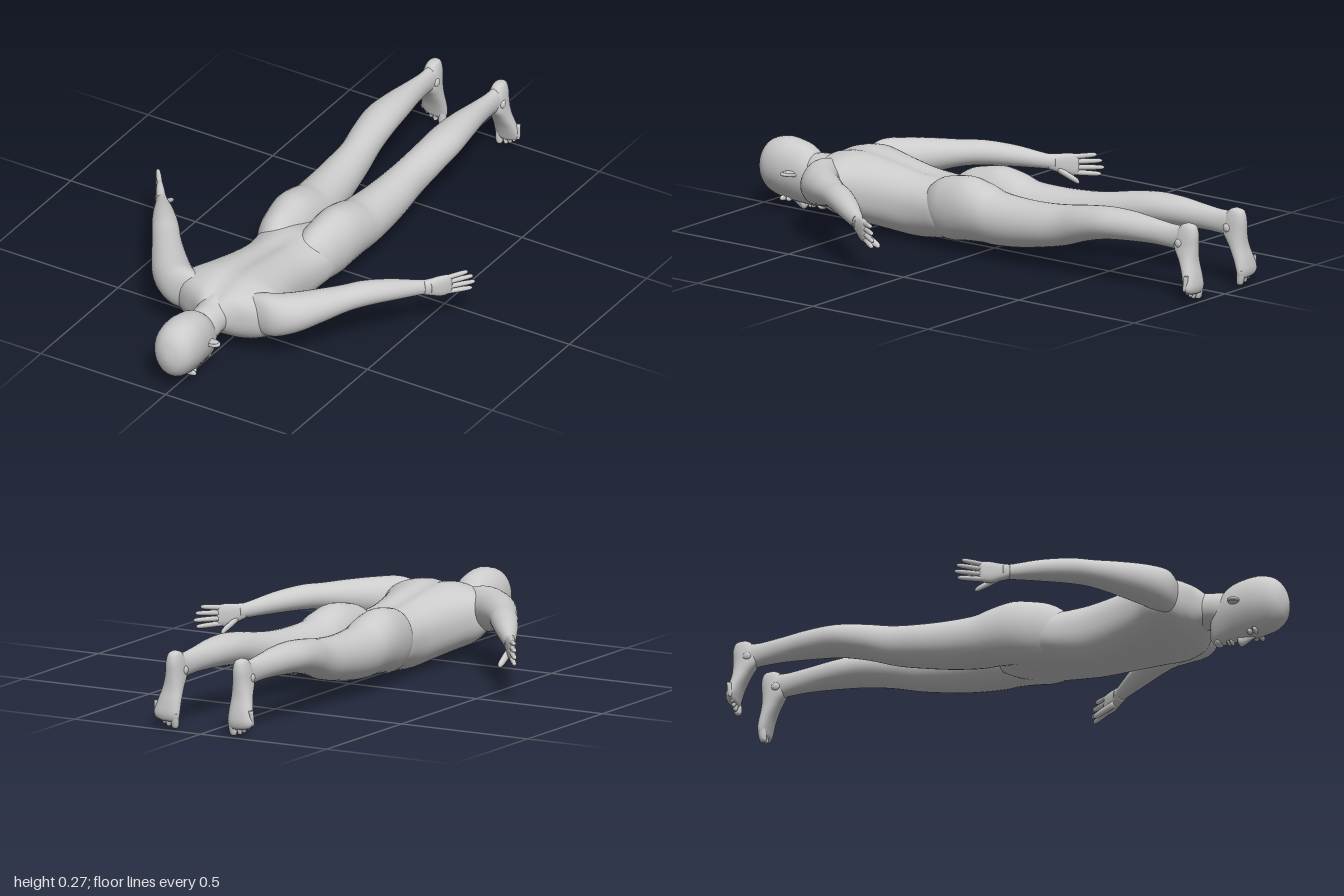
import * as THREE from 'three';

const material = new THREE.MeshStandardMaterial({ color: 0xcccccc, roughness: 0.8 });
const X = [1, 0, 0], Y = [0, 1, 0], Z = [0, 0, 1];

// Smooth skin through sections [x, y, z, halfU, halfV]; side = -1 mirrors it in x.
function loft(name, sections, { U = X, V = Y, side = 1, power = 2, around = 32, steps = 5, bend } = {}) {
  const centre = new THREE.CatmullRomCurve3(
    sections.map(s => new THREE.Vector3(s[0], s[1], s[2])), false, 'catmullrom', 0.5);
  const size = new THREE.CatmullRomCurve3(
    sections.map(s => new THREE.Vector3(s[3], s[4], 0)), false, 'catmullrom', 0.5);
  const u = new THREE.Vector3(...U), v = new THREE.Vector3(...V);
  const rows = (sections.length - 1) * steps, pos = [], index = [];
  const push = p => {
    if (bend) bend(p);
    pos.push(p.x * side, p.y, p.z);
  };
  const round = c => Math.sign(c) * Math.abs(c) ** (2 / power);
  for (let i = 0; i <= rows; i++) {
    const c = centre.getPoint(i / rows), r = size.getPoint(i / rows);
    for (let j = 0; j < around; j++) {
      const t = j / around * Math.PI * 2;
      push(c.clone().addScaledVector(u, r.x * round(Math.cos(t))).addScaledVector(v, r.y * round(Math.sin(t))));
    }
  }
  const first = (rows + 1) * around, last = first + 1;
  push(centre.getPoint(0));
  push(centre.getPoint(1));
  const along = centre.getPoint(1).sub(centre.getPoint(0));
  const flip = u.clone().cross(v).dot(along) * side < 0;
  const tri = (a, b, c) => (flip ? index.push(a, c, b) : index.push(a, b, c));
  for (let j = 0; j < around; j++) {
    const k = (j + 1) % around;
    for (let i = 0; i < rows; i++) {
      const a = i * around + j, b = i * around + k;
      tri(a, b, a + around);
      tri(b, b + around, a + around);
    }
    tri(first, k, j);
    tri(last, rows * around + j, rows * around + k);
  }
  const geo = new THREE.BufferGeometry();
  geo.setAttribute('position', new THREE.Float32BufferAttribute(pos, 3));
  geo.setIndex(index);
  geo.computeVertexNormals();
  const mesh = new THREE.Mesh(geo, material);
  mesh.name = name;
  return mesh;
}

// Section across z from its extents
const slice = ([z, x0, x1, y0, y1]) => [(x0 + x1) / 2, (y0 + y1) / 2, z, (x1 - x0) / 2, (y1 - y0) / 2];
// Symmetric section across z
const band = ([z, w, y0, y1]) => slice([z, -w, w, y0, y1]);

function ellipsoid(name, p, s, rotation = [0, 0, 0]) {
  const mesh = new THREE.Mesh(new THREE.SphereGeometry(1, 20, 14), material);
  mesh.name = name;
  mesh.position.set(...p);
  mesh.scale.set(...s);
  mesh.rotation.set(...rotation);
  return mesh;
}

// Rounded digit from a to b
function digit(name, a, b, r, side, U, V) {
  const at = (t, k) => [0, 1, 2].map(i => a[i] + (b[i] - a[i]) * t).concat(r * k, r * k);
  return loft(name, [at(0, 1), at(0.5, 1), at(0.85, 0.85), at(0.96, 0.55), at(1, 0.1)],
    { U, V, side, around: 10, steps: 3 });
}

function buildHead() {
  const head = new THREE.Group();
  head.name = 'head';
  head.add(loft('skull', [
    [0.715, 0.015, 0.05, 0.09], [0.73, 0.04, 0.03, 0.15], [0.76, 0.058, 0.028, 0.2],
    [0.8, 0.07, 0.032, 0.236], [0.85, 0.078, 0.035, 0.251], [0.9, 0.081, 0.04, 0.255],
    [0.95, 0.074, 0.055, 0.242], [0.98, 0.053, 0.08, 0.212], [0.994, 0.026, 0.112, 0.175],
    [0.999, 0.004, 0.138, 0.148],
  ].map(band), {
    power: 2.2,
    // narrow the face towards the front
    bend: p => { p.x *= 1 - 0.22 * THREE.MathUtils.smoothstep(0.15 - p.y, 0, 0.12); },
  }));
  head.add(loft('nose', [
    [0.89, 0.006, 0.04, 0.06], [0.865, 0.009, 0.029, 0.06], [0.835, 0.015, 0.012, 0.06],
    [0.822, 0.018, 0.011, 0.05], [0.814, 0.01, 0.022, 0.045],
  ].map(band), { around: 16 }));
  head.add(ellipsoid('upperLip', [0, 0.031, 0.791], [0.021, 0.009, 0.006]));
  head.add(ellipsoid('lowerLip', [0, 0.031, 0.78], [0.018, 0.009, 0.006]));
  head.add(ellipsoid('chin', [0, 0.036, 0.744], [0.024, 0.014, 0.016]));
  for (const s of [-1, 1]) {
    head.add(ellipsoid('eye', [s * 0.029, 0.046, 0.868], [0.014, 0.01, 0.009]));
    head.add(ellipsoid('brow', [s * 0.03, 0.047, 0.888], [0.025, 0.011, 0.008]));
    // ear: flattened rim around a shallow bowl
    const ear = new THREE.Group();
    ear.name = 'ear';
    const rim = new THREE.Mesh(new THREE.TorusGeometry(0.022, 0.006, 8, 24), material);
    rim.name = 'earRim';
    rim.scale.set(0.75, 1.25, 1);
    ear.add(rim, ellipsoid('earBowl', [0, 0, -s * 0.006], [0.017, 0.027, 0.006]));
    ear.position.set(s * 0.082, 0.148, 0.828);
    ear.rotation.set(Math.PI / 2, s * 0.35, 0, 'YXZ');
    ear.rotation.set(Math.PI / 2 - 0.15, Math.PI / 2 - s * 0.3, 0, 'YXZ');
    head.add(ear);
  }
  return head;
}

function buildArm(side) {
  const arm = new THREE.Group();
  arm.name = side > 0 ? 'leftArm' : 'rightArm';
  const U = [0.8, 0, 0.6], opts = { U, V: Y, side };
  arm.add(loft('armSkin', [
    [0.09, 0.178, 0.625, 0.045, 0.06], [0.165, 0.178, 0.615, 0.068, 0.078],
    [0.235, 0.183, 0.57, 0.07, 0.071], [0.3, 0.193, 0.495, 0.06, 0.058],
    [0.355, 0.201, 0.42, 0.05, 0.046], [0.4, 0.203, 0.355, 0.047, 0.043],
    [0.46, 0.193, 0.27, 0.038, 0.037], [0.52, 0.176, 0.185, 0.022, 0.027],
    [0.54, 0.172, 0.16, 0.02, 0.027],
  ], opts));
  arm.add(loft('palm', [
    [0.525, 0.174, 0.18, 0.02, 0.026], [0.543, 0.169, 0.155, 0.018, 0.032],
    [0.562, 0.165, 0.128, 0.016, 0.039], [0.58, 0.165, 0.102, 0.012, 0.037],
    [0.586, 0.165, 0.094, 0.006, 0.03],
  ], { ...opts, power: 2.4 }));
  // fingers from little finger (up) to index (down)
  [[0.192, 0.2, 0.75], [0.174, 0.179, 0.93], [0.155, 0.155, 1], [0.137, 0.132, 0.9]].forEach(([y0, y1, k]) =>
    arm.add(digit('finger', [0.574, y0, 0.11], [0.574 + 0.064 * k, y1, 0.11 - 0.085 * k], 0.0092, side, U, Y)));
  arm.add(digit('thumb', [0.54, 0.148, 0.15], [0.552, 0.113, 0.066], 0.012, side, U, Y));
  return arm;
}

function buildLeg(side) {
  const leg = new THREE.Group();
  leg.name = side > 0 ? 'leftLeg' : 'rightLeg';
  leg.add(loft('legSkin', [
    [0.24, 0.03, 0.1, 0.09, 0.19], [0.17, 0.004, 0.148, 0.045, 0.242],
    [0.1, -0.002, 0.168, 0.036, 0.262], [0.03, -0.002, 0.178, 0.046, 0.27],
    [-0.04, 0, 0.181, 0.052, 0.256], [-0.1, 0.005, 0.181, 0.052, 0.238],
    [-0.2, 0.02, 0.18, 0.062, 0.233], [-0.3, 0.034, 0.178, 0.08, 0.236],
    [-0.4, 0.048, 0.174, 0.103, 0.246], [-0.5, 0.06, 0.186, 0.137, 0.263],
    [-0.6, 0.066, 0.194, 0.162, 0.275], [-0.7, 0.076, 0.183, 0.172, 0.275],
    [-0.8, 0.092, 0.167, 0.177, 0.266], [-0.88, 0.102, 0.158, 0.175, 0.259],
    [-0.93, 0.105, 0.158, 0.17, 0.26], [-0.965, 0.112, 0.152, 0.19, 0.25],
  ].map(slice), { side }));
  // foot hangs down from the heel, sole facing back: [y, x0, x1, z0, z1]
  const sole = ([y, x0, x1, z0, z1]) => [(x0 + x1) / 2, y, (z0 + z1) / 2, (x1 - x0) / 2, (z1 - z0) / 2];
  leg.add(loft('foot', [
    [0.274, 0.125, 0.14, -0.957, -0.94], [0.265, 0.112, 0.152, -0.977, -0.92],
    [0.235, 0.104, 0.161, -0.985, -0.9], [0.19, 0.101, 0.166, -0.984, -0.892],
    [0.145, 0.1, 0.174, -0.985, -0.92], [0.1, 0.098, 0.186, -0.994, -0.944],
    [0.065, 0.097, 0.195, -0.999, -0.957], [0.045, 0.1, 0.188, -0.996, -0.963],
    [0.035, 0.108, 0.165, -0.99, -0.968],
  ].map(sole), { U: X, V: Z, side, power: 2.3 }));
  for (let i = 0; i < 5; i++) {
    const r = i ? 0.0105 - i * 0.0006 : 0.0145, x = i ? 0.122 + i * 0.0165 : 0.113;
    const tip = 0.009 + i * 0.004 + i * i * 0.0014;
    leg.add(digit('toe', [x, tip + 0.055, -0.98], [x + 0.003, tip, -0.974], r, side, X, Z));
  }
  // ankle bones
  for (const x of [0.104, 0.161]) leg.add(ellipsoid('ankleBone', [side * x, 0.205, -0.925], [0.008, 0.015, 0.015]));
  return leg;
}

export function createModel() {
  const body = new THREE.Group();
  body.name = 'lyingFigure';
  body.add(loft('torso', [
    [0.715, 0.045, 0.12, 0.215], [0.69, 0.085, 0.1, 0.235], [0.665, 0.14, 0.08, 0.248],
    [0.63, 0.19, 0.058, 0.26], [0.57, 0.205, 0.036, 0.27], [0.5, 0.176, 0.024, 0.267],
    [0.4, 0.149, 0.013, 0.252], [0.3, 0.137, 0.006, 0.236], [0.22, 0.142, 0.013, 0.228],
    [0.15, 0.152, 0.023, 0.224], [0.08, 0.145, 0.033, 0.205], [0, 0.1, 0.048, 0.18],
    [-0.05, 0.04, 0.065, 0.14],
  ].map(band), {
    around: 64, power: 2.3,
    // groove along the spine and between the chest muscles
    bend: p => {
      const groove = Math.exp(-((p.x / 0.03) ** 2));
      if (p.y > 0.2) p.y -= 0.011 * groove * THREE.MathUtils.smoothstep(p.z, 0.15, 0.3);
      else if (p.y < 0.08) p.y += 0.008 * groove * Math.exp(-(((p.z - 0.5) / 0.08) ** 2));
    },
  }));
  body.add(loft('neck', [
    [0.6, 0.07, 0.1, 0.235], [0.66, 0.066, 0.095, 0.238], [0.71, 0.06, 0.1, 0.224],
    [0.76, 0.058, 0.09, 0.218], [0.83, 0.05, 0.1, 0.2],
  ].map(band)));
  body.add(buildHead());
  for (const side of [1, -1]) body.add(buildArm(side), buildLeg(side));
  return body;
}
